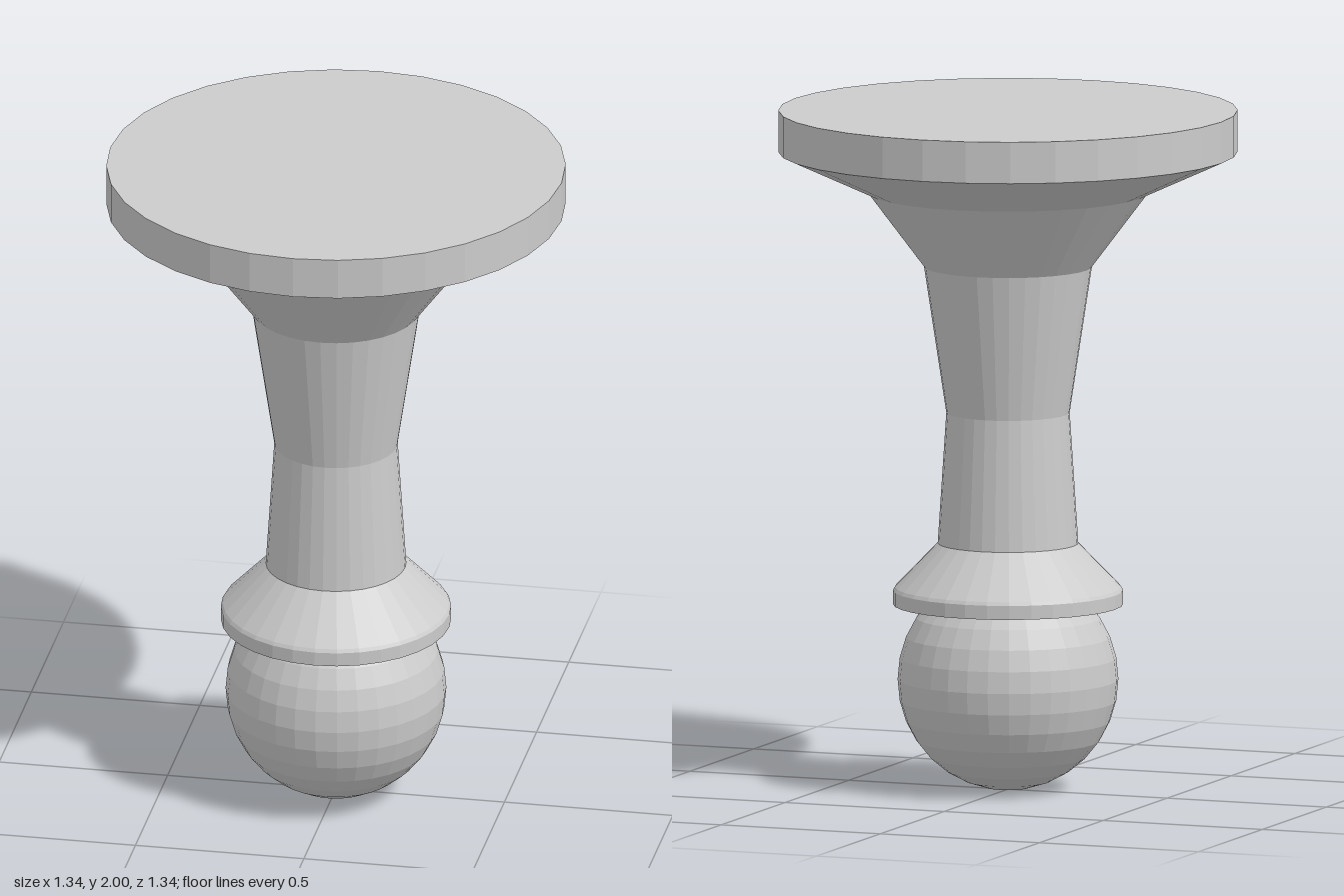
import * as THREE from 'three';

const SIDES = 32;

export function createModel() {
  const model = new THREE.Group();
  const material = new THREE.MeshStandardMaterial({ color: 0xcccccc, flatShading: true });

  function addPart(name, geometry) {
    const mesh = new THREE.Mesh(geometry, material);
    mesh.name = name;
    model.add(mesh);
    return mesh;
  }

  // Turned body: collar, waisted stem, flared neck and flat disc, as [radius, height] from the bottom up
  const profile = [
    [0, 0.546], [0.336, 0.546], [0.336, 0.587], [0.33, 0.597], // collar
    [0.205, 0.726], [0.18, 1.11], [0.245, 1.54],               // stem
    [0.41, 1.759], [0.67, 1.878],                              // flare
    [0.67, 2], [0, 2],                                         // disc
  ].map(([r, y]) => new THREE.Vector2(r, y));
  addPart('turnedBody', new THREE.LatheGeometry(profile, SIDES));

  // Ball under the collar
  const ball = addPart('ball', new THREE.SphereGeometry(0.322, SIDES, SIDES / 2));
  ball.scale.y = 1.01;
  ball.position.y = 0.322 * 1.01;

  return model;
}
